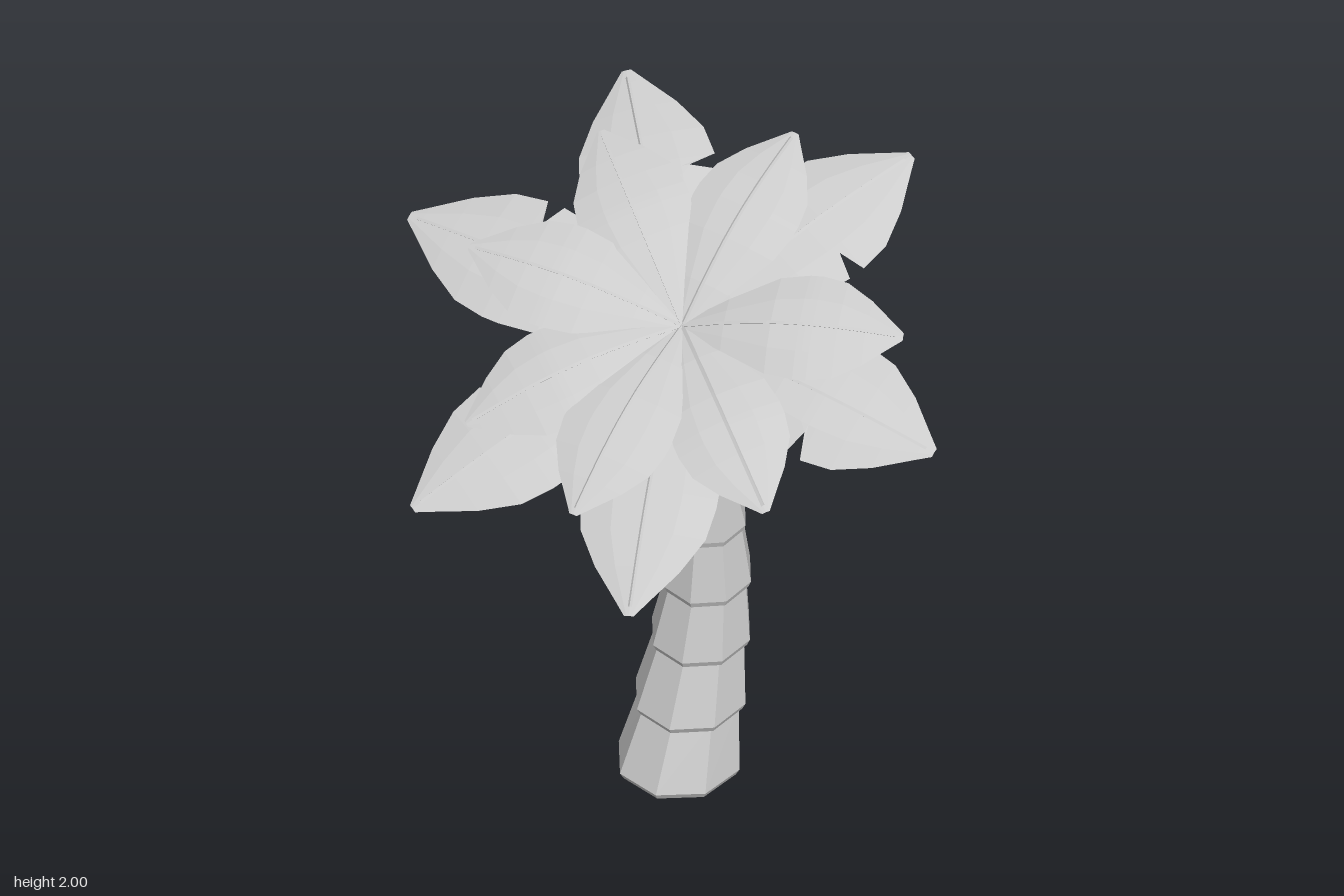
import * as THREE from 'three';

const UP = new THREE.Vector3(0, Math.cos(0.49), Math.sin(0.49)); // crown leans forward
const material = () => new THREE.MeshStandardMaterial({
  color: 0xcccccc, flatShading: true, side: THREE.DoubleSide,
});

// Trunk rings: x, y, z, radius, forward slope
const RINGS = [
  [-0.02, 0.015, -0.165, 0.185, 0.06],
  [0.0, 0.225, -0.205, 0.168, 0.12],
  [0.02, 0.435, -0.235, 0.15, 0.13],
  [0.034, 0.635, -0.248, 0.134, 0.15],
  [0.038, 0.84, -0.243, 0.116, 0.16],
  [0.035, 1.035, -0.222, 0.095, 0.2],
  [0.028, 1.24, -0.182, 0.074, 0.28],
  [0.025, 1.435, -0.125, 0.056, 0.3],
  [0.025, 1.64, -0.078, 0.042, 0.3],
];

// One flared trunk section: bevelled lower lip, tapering into the next ring
function trunkSection(a, b) {
  const rows = [
    [a, a[3] * 0.94, -0.008],
    [a, a[3], 0.012],
    [b, b[3] * 0.88, 0.012],
  ];
  const geo = new THREE.CylinderGeometry(1, 1, 2, 8, 2);
  const p = geo.attributes.position;
  for (let i = 0; i < p.count; i++) {
    const [ring, r, lift] = rows[Math.round(p.getY(i)) + 1];
    const x = p.getX(i) * r, z = p.getZ(i) * r;
    p.setXYZ(i, ring[0] + x, ring[1] + lift - ring[4] * z, ring[2] + z);
  }
  return new THREE.Mesh(geo, material());
}

// Leaf outline: position along the leaf, half-width as a share of the widest
const OUTLINE = [[0, 0.1], [0.2, 0.5], [0.42, 0.92], [0.55, 1], [0.58, 1], [0.61, 1],
  [0.72, 0.92], [0.84, 0.62], [0.95, 0.24], [1, 0.07]];
const NOTCH_ROW = 4;

function leaf(base, tip, halfWidth, arch, notched) {
  const along = tip.clone().sub(base);
  const side = along.clone().cross(UP).normalize();
  const normal = side.clone().cross(along).normalize();
  const at = (t, v, w) => base.clone()
    .addScaledVector(along, t)
    .addScaledVector(side, v * w)
    .addScaledVector(normal, arch * Math.sin(Math.PI * t) - 0.16 * w * v * v);

  const rows = OUTLINE.length - 1;
  const geo = new THREE.PlaneGeometry(4, rows, 4, rows);
  const p = geo.attributes.position;
  for (let i = 0; i < p.count; i++) {
    const row = Math.round(p.getY(i) + rows / 2);
    let v = p.getX(i) / 2;
    const [t, w] = OUTLINE[row];
    if (notched && row === NOTCH_ROW && v === 1) v = 0.62;
    const q = at(t, v, w * halfWidth);
    p.setXYZ(i, q.x, q.y, q.z);
  }
  const blade = new THREE.Mesh(geo, material());
  blade.name = 'leafBlade';

  // Midrib along the centre line
  const path = new THREE.CatmullRomCurve3(OUTLINE.map(([t]) => at(t * 0.97, 0, 0)));
  const rib = new THREE.Mesh(new THREE.TubeGeometry(path, 12, 0.006, 4), material());
  rib.name = 'leafRib';

  const group = new THREE.Group();
  group.add(blade, rib);
  return group;
}

// Leaf tips
const UPPER = [[0.16, 2.0, -0.62], [0.68, 1.76, -0.13], [0.46, 1.44, 0.39], [-0.07, 1.4, 0.55],
  [-0.47, 1.48, 0.36], [-0.63, 1.76, -0.08], [-0.39, 1.94, -0.5]];
const LOWER = [[0.49, 1.96, -0.69], [0.86, 1.55, 0.09], [0.17, 1.23, 0.73], [-0.55, 1.31, 0.58],
  [-0.86, 1.72, -0.2], [-0.4, 1.99, -0.73]];

export function createModel() {
  const model = new THREE.Group();
  model.name = 'palmTree';

  const trunk = new THREE.Group();
  trunk.name = 'trunk';
  for (let i = 0; i < RINGS.length - 1; i++) {
    const section = trunkSection(RINGS[i], RINGS[i + 1]);
    section.name = `trunkSection${i + 1}`;
    trunk.add(section);
  }

  const crown = new THREE.Group();
  crown.name = 'crown';
  const addLayer = (name, tips, baseY, halfWidth, arch, notched) => tips.forEach((tip, i) => {
    const l = leaf(new THREE.Vector3(0.03, baseY, -0.06), new THREE.Vector3(...tip), halfWidth, arch, notched);
    l.name = `${name}${i + 1}`;
    crown.add(l);
  });
  addLayer('upperLeaf', UPPER, 1.67, 0.165, 0.055, false);
  addLayer('lowerLeaf', LOWER, 1.645, 0.2, 0.05, true);

  // Coconuts under the crown
  const nuts = new THREE.Group();
  nuts.name = 'coconuts';
  for (const pos of [[0.04, 1.61, -0.147], [-0.03, 1.605, -0.14], [-0.03, 1.565, -0.015]]) {
    const nut = new THREE.Mesh(new THREE.SphereGeometry(0.043, 20, 14),
      new THREE.MeshStandardMaterial({ color: 0xcccccc }));
    nut.name = 'coconut';
    nut.position.set(...pos);
    nuts.add(nut);
  }

  model.add(trunk, crown, nuts);
  return model;
}
